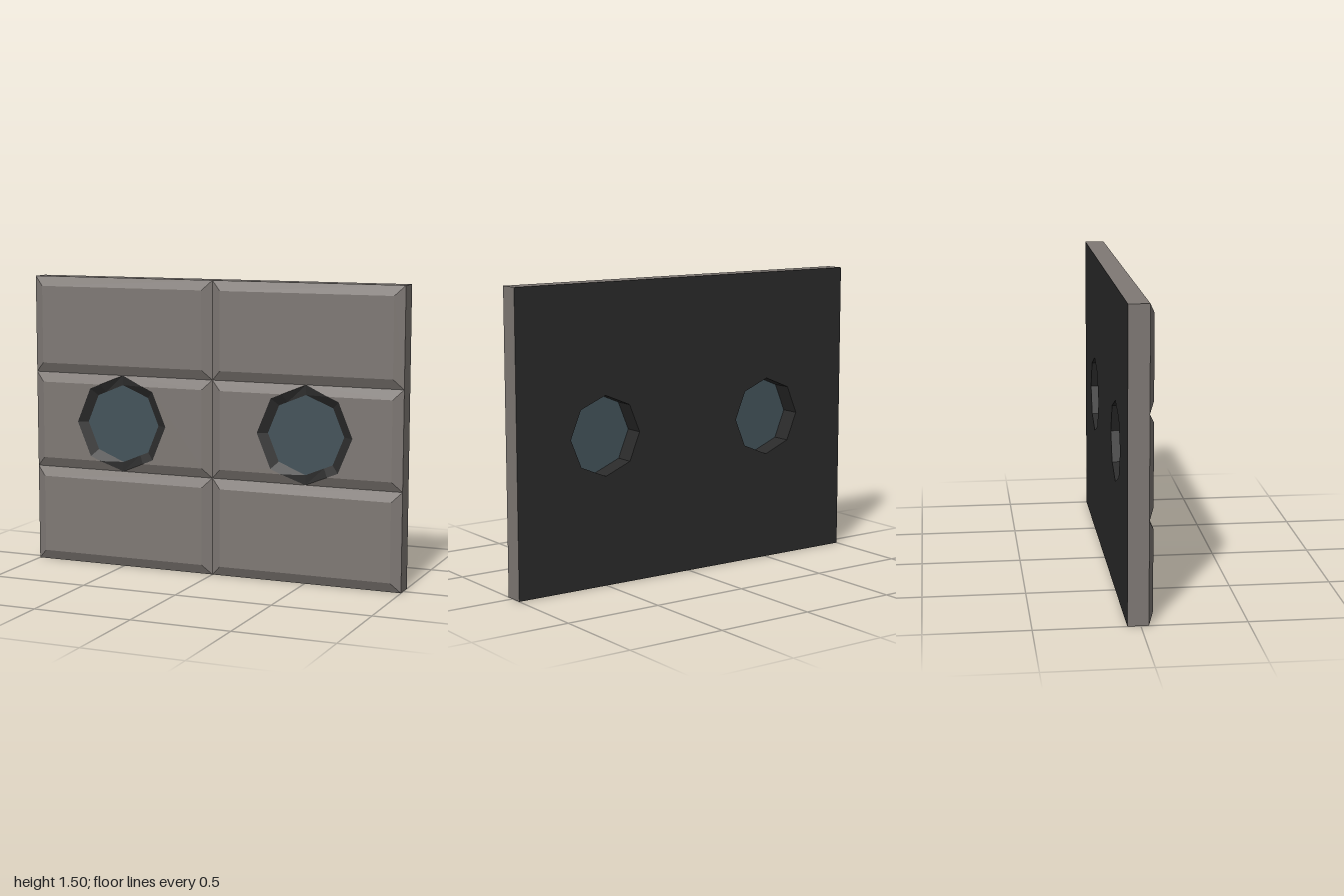
import * as THREE from 'three';
import { mergeGeometries } from 'three/addons/utils/BufferGeometryUtils.js';

const BACK = -0.0625, GROOVE = 0.0375, RELIEF = 0.025, BEVEL = 0.05;
const TW = 0.5, TH = 0.25;               // half size of one tile
const R_OUT = 0.25, R_IN = 0.2, CY = 0.75;

const material = (color) => new THREE.MeshStandardMaterial({ color, flatShading: true });

// height of the tile surface at a point measured from the tile centre
const tileZ = (x, y) => GROOVE + RELIEF *
  THREE.MathUtils.clamp(Math.min(TW - Math.abs(x), TH - Math.abs(y)) / BEVEL, 0, 1);

// flat polygon laid onto the bevelled tile surface
function facet(points) {
  const shape = new THREE.Shape(points.map(([x, y]) => new THREE.Vector2(x, y)));
  const g = new THREE.ShapeGeometry(shape).toNonIndexed();
  const p = g.attributes.position;
  for (let i = 0; i < p.count; i++) p.setZ(i, tileZ(p.getX(i), p.getY(i)));
  g.computeVertexNormals();
  return g;
}

// closed band between two loops of [x, y, z]
function band(a, b) {
  const v = [];
  a.forEach((p, i) => {
    const j = (i + 1) % a.length;
    v.push(...p, ...a[j], ...b[j], ...p, ...b[j], ...b[i]);
  });
  const g = new THREE.BufferGeometry();
  g.setAttribute('position', new THREE.Float32BufferAttribute(v, 3));
  g.computeVertexNormals();
  return g;
}

// octagon with extra points where it crosses the start of the bevel
const d = R_OUT * Math.SQRT1_2;
const kink = d * (R_OUT - (TH - BEVEL)) / (R_OUT - d);
const quarter = [[R_OUT, 0], [d, d], [kink, TH - BEVEL]];
const rim = [
  ...quarter, [0, R_OUT], ...quarter.slice(1).reverse().map(([x, y]) => [-x, y]),
  ...quarter.map(([x, y]) => [-x, -y]), [0, -R_OUT],
  ...quarter.slice(1).reverse().map(([x, y]) => [x, -y]),
];
const octagon = (r) => Array.from({ length: 8 }, (_, i) =>
  [r * Math.cos(i * Math.PI / 4), r * Math.sin(i * Math.PI / 4)]);

function tileGeometry(withWindow) {
  const parts = [], w = TW - BEVEL, h = TH - BEVEL;
  for (const s of [-1, 1]) {
    parts.push(facet([[s * TW, -TH], [s * TW, TH], [s * w, h], [s * w, -h]]));
    if (withWindow) {
      // half of the flat face, cut around the window
      parts.push(facet([[w, -h], [w, h], [kink, h], [d, d], [R_OUT, 0], [d, -d], [kink, -h]]
        .map(([x, y]) => [s * x, y])));
      // half bevels, notched by the window
      for (const t of [-1, 1]) {
        parts.push(facet([[s * TW, t * TH], [s * w, t * h], [s * kink, t * h], [0, t * TH]]));
      }
    } else {
      parts.push(facet([[-TW, s * TH], [TW, s * TH], [w, s * h], [-w, s * h]]));
    }
  }
  if (!withWindow) parts.push(facet([[-w, -h], [w, -h], [w, h], [-w, h]]));
  return mergeGeometries(parts);
}

export function createModel() {
  const group = new THREE.Group();
  const stone = material(0x7f7975), dark = material(0x2b2b2b);
  const glass = material(0x44535a);
  glass.side = THREE.DoubleSide;

  const add = (name, geometry, mat, x = 0, y = 0, z = 0) => {
    const mesh = new THREE.Mesh(geometry, mat);
    mesh.name = name;
    mesh.position.set(x, y, z);
    group.add(mesh);
  };

  // bevelled front tiles, two columns by three rows
  const plain = tileGeometry(false), pierced = tileGeometry(true);
  for (const x of [-0.5, 0.5]) {
    for (let row = 0; row < 3; row++) {
      add(row === 1 ? 'windowTile' : 'tile', row === 1 ? pierced : plain, stone, x, 0.25 + row * 0.5);
    }
  }

  // outer edges of the slab
  const outline = [[-1, 0], [1, 0], [1, 1.5], [-1, 1.5]];
  add('slabEdges', band(outline.map((p) => [...p, BACK]), outline.map((p) => [...p, GROOVE])), stone);

  // back face with two openings
  const back = new THREE.Shape(outline.map(([x, y]) => new THREE.Vector2(-x, y)));
  for (const x of [-0.5, 0.5]) {
    back.holes.push(new THREE.Path(octagon(R_IN).map(([u, v]) => new THREE.Vector2(x + u, CY + v))));
  }
  const backGeometry = new THREE.ShapeGeometry(back);
  backGeometry.rotateY(Math.PI);
  add('backFace', backGeometry, dark, 0, 0, BACK);

  // windows: sloped rim, straight opening behind, glass pane
  const k = R_IN / R_OUT;
  const rimGeometry = band(rim.map(([x, y]) => [x, y, tileZ(x, y)]),
    rim.map(([x, y]) => [x * k, y * k, GROOVE]));
  const wallGeometry = band(octagon(R_IN).map((p) => [...p, GROOVE]), octagon(R_IN).map((p) => [...p, BACK]));
  for (const x of [-0.5, 0.5]) {
    add('windowRim', rimGeometry, dark, x, CY);
    add('windowWall', wallGeometry, dark, x, CY);
    add('windowGlass', new THREE.CircleGeometry(R_IN, 8), glass, x, CY, GROOVE);
  }
  return group;
}
